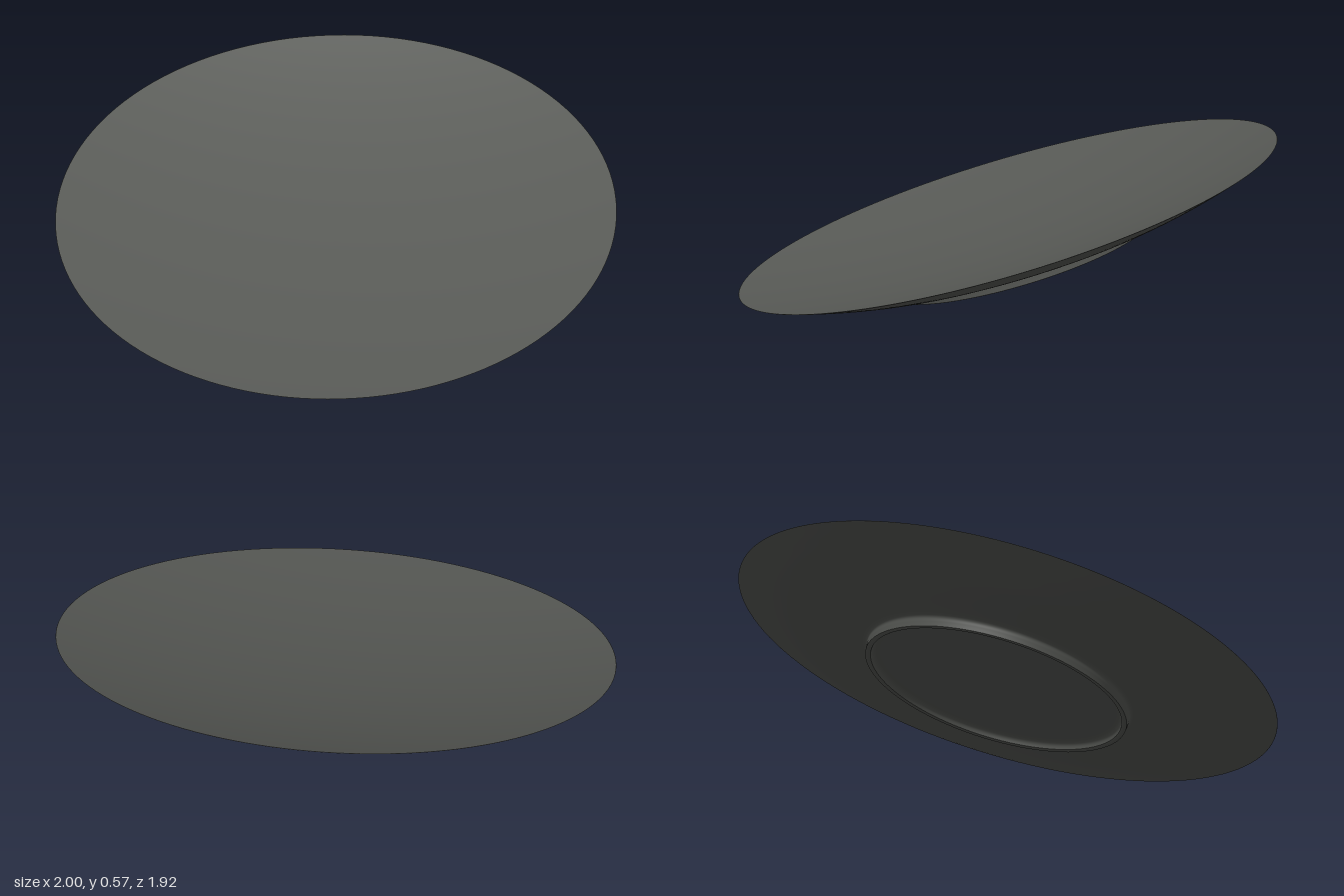
import * as THREE from 'three';

const material = new THREE.MeshStandardMaterial({ color: 0x585a56 });
const SEGMENTS = 128;

// Smooth curve through a few [radius, height] points
const curve = (points, n) =>
  new THREE.SplineCurve(points.map(([r, y]) => new THREE.Vector2(r, y))).getPoints(n);

// Turned surface; profiles run from the bottom centre outwards and over the rim
function turned(name, points) {
  const mesh = new THREE.Mesh(new THREE.LatheGeometry(points, SEGMENTS), material);
  mesh.name = name;
  return mesh;
}

export function createModel() {
  const model = new THREE.Group();
  model.name = 'tiltedPlate';
  const plate = new THREE.Group();
  plate.name = 'plate';
  model.add(plate);

  // Flat recess under the plate, with a small fillet into the foot ring
  plate.add(turned('baseRecess', [
    new THREE.Vector2(0, -0.125),
    new THREE.Vector2(0.2, -0.125),
    ...curve([[0.44, -0.125], [0.453, -0.128], [0.462, -0.138], [0.466, -0.152]], 12),
  ]));

  // Narrow standing edge of the foot ring
  plate.add(turned('footEdge', curve([[0.466, -0.152], [0.471, -0.155], [0.48, -0.155], [0.485, -0.153]], 8)));

  // Foot wall flowing through a fillet into the curved underside
  plate.add(turned('underside', curve([
    [0.485, -0.153], [0.487, -0.135], [0.49, -0.118], [0.502, -0.108], [0.53, -0.103],
    [0.65, -0.091], [0.75, -0.076], [0.85, -0.05], [0.93, -0.025], [0.997, -0.002],
  ], 60)));

  // Thin rim
  plate.add(turned('rim', curve([[0.997, -0.002], [1, 0], [0.996, 0]], 6)));

  // Shallow bowl of the upper face
  const bowl = [];
  for (let i = 0; i <= 32; i++) {
    const t = 1 - i / 32;
    bowl.push(new THREE.Vector2(0.996 * t, -0.1 * (1 - t * t)));
  }
  plate.add(turned('upperFace', bowl));

  // Lean the plate forward so its front rim and foot rest on the floor
  plate.rotation.x = THREE.MathUtils.degToRad(16.4);
  plate.position.y = 0.288;
  return model;
}
